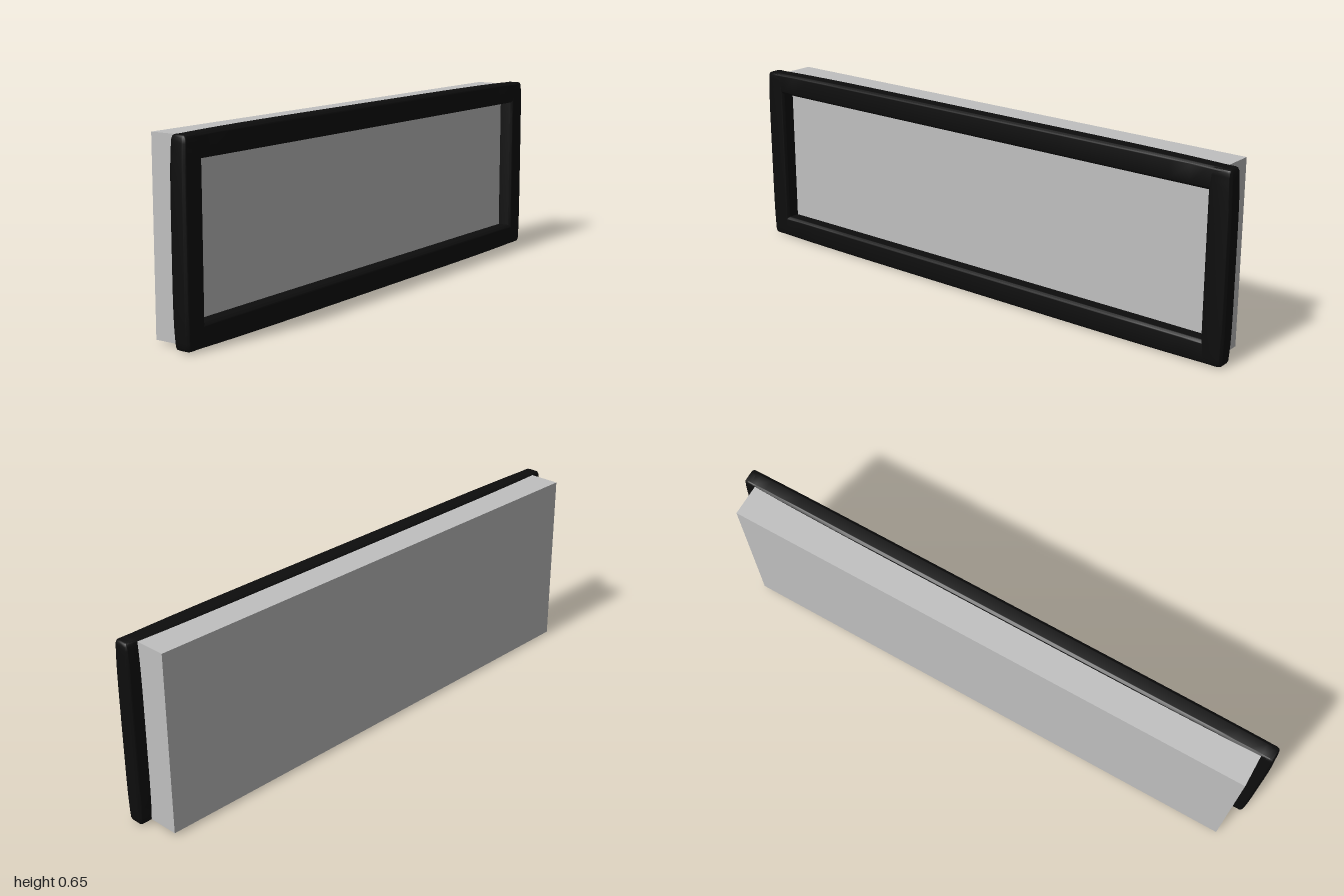
import * as THREE from 'three';
import { toCreasedNormals } from 'three/addons/utils/BufferGeometryUtils.js';

const DEPTH = 0.063, WIDTH = 0.08;

// Rounded bar along z; outer side is +y, back is -x. It thins slightly towards its softened ends.
function barGeometry(length) {
  const a = DEPTH / 2, b = WIDTH / 2, r = 0.012;
  const s = new THREE.Shape();
  s.moveTo(-a + r, -b);
  s.lineTo(a - r, -b);
  s.absarc(a - r, -b + r, r, -Math.PI / 2, 0);
  s.lineTo(a, b - r);
  s.absarc(a - r, b - r, r, 0, Math.PI / 2);
  s.lineTo(-a + r, b);
  s.absarc(-a + r, b - r, r, Math.PI / 2, Math.PI);
  s.lineTo(-a, -b + r);
  s.absarc(-a + r, -b + r, r, Math.PI, Math.PI * 1.5);
  const g = new THREE.ExtrudeGeometry(s, { depth: 2, steps: 24, bevelEnabled: false, curveSegments: 5 });
  g.translate(0, 0, -1);
  const p = g.attributes.position;
  for (let i = 0; i < p.count; i++) {
    const u = Math.sin(p.getZ(i) * Math.PI / 2);      // rings crowd towards the ends
    const taper = Math.pow(Math.abs(u), 5);
    const toEnd = (1 - Math.abs(u)) * length / 2;
    const k = Math.max(0, 1 - toEnd / 0.012);
    const round = 1 - 0.2 * (1 - Math.sqrt(1 - k * k));
    const x = p.getX(i), y = p.getY(i);
    p.setXYZ(i,
      x * round * (1 - (x < 0 ? 0.2 : 0.05) * taper),
      y * round * (1 - (y > 0 ? 0.13 : 0) * taper),
      u * length / 2);
  }
  return toCreasedNormals(g, 0.7);
}

export function createModel() {
  const grey = new THREE.MeshStandardMaterial({ color: 0xc0c0c0 });
  grey.name = 'light grey';
  const black = new THREE.MeshStandardMaterial({ color: 0x0d0d0d });
  black.name = 'black';

  const model = new THREE.Group();
  model.name = 'framedPanel';

  // Slab behind the frame; its face shows through the opening
  const panel = new THREE.Mesh(new THREE.BoxGeometry(0.118, 0.63, 1.905), grey);
  panel.name = 'panel';
  panel.position.set(-0.026, 0.325, 0);
  model.add(panel);

  // Four rounded bars around the face
  const frame = new THREE.Group();
  frame.name = 'frame';
  const long = barGeometry(1.975), short = barGeometry(0.64);
  const bars = [
    ['topBar', long, 0, 0.61, 0],
    ['bottomBar', long, Math.PI, 0.04, 0],
    ['frontBar', short, Math.PI / 2, 0.325, 0.96],
    ['backBar', short, -Math.PI / 2, 0.325, -0.96],
  ];
  for (const [name, geometry, turn, y, z] of bars) {
    const bar = new THREE.Mesh(geometry, black);
    bar.name = name;
    bar.rotation.x = turn;
    bar.position.set(0.0535, y, z);
    frame.add(bar);
  }
  model.add(frame);
  return model;
}
